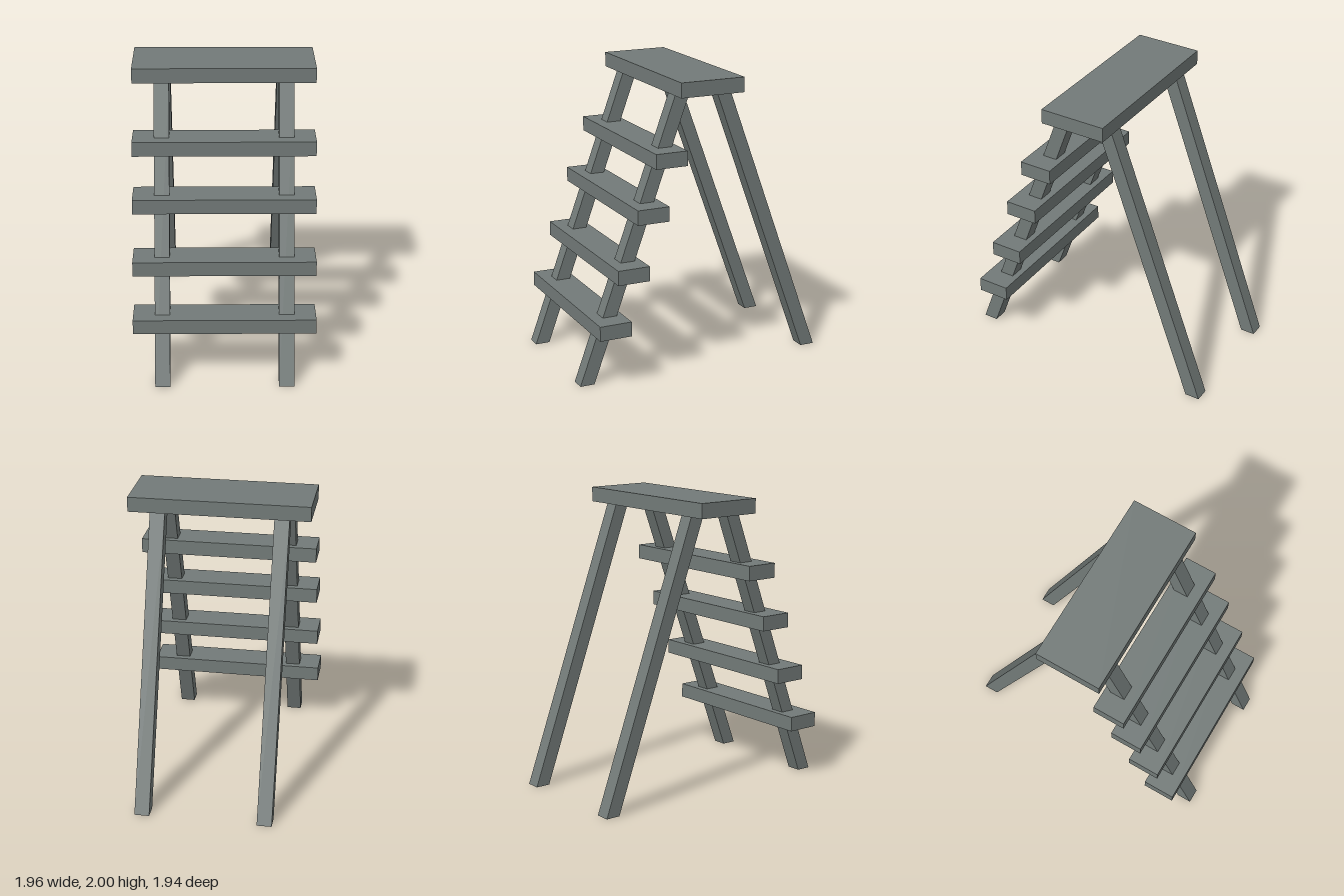
import * as THREE from 'three';

export function createModel() {
  const model = new THREE.Group();
  model.name = 'stepladder';
  const grey = new THREE.MeshStandardMaterial({ color: 0x727a78 });
  grey.name = 'grey';

  // Ladder in its own frame: rungs run along x, the climbing side faces +z
  const ladder = new THREE.Group();
  ladder.name = 'ladder';
  ladder.position.set(-0.02, 0, -0.025);
  ladder.rotation.y = 0.816;
  model.add(ladder);

  function board(name, width, depth, y, z) {
    const mesh = new THREE.Mesh(new THREE.BoxGeometry(width, 0.1, depth), grey);
    mesh.name = name;
    mesh.position.set(0, y, z);
    ladder.add(mesh);
  }

  // Sloping leg with level ends: a box sheared along z
  const legHeight = 1.9, topZ = 0.147, footZ = 0.84;
  function leg(name, x, side) {
    const geo = new THREE.BoxGeometry(0.1, legHeight, 0.1);
    geo.translate(0, legHeight / 2, 0);
    const pos = geo.attributes.position;
    for (let i = 0; i < pos.count; i++) {
      const t = pos.getY(i) / legHeight;
      pos.setZ(i, pos.getZ(i) + side * THREE.MathUtils.lerp(footZ, topZ, t));
    }
    geo.computeVertexNormals();
    const mesh = new THREE.Mesh(geo, grey);
    mesh.name = name;
    mesh.position.x = x;
    ladder.add(mesh);
  }

  // Top platform
  board('topBoard', 1.21, 0.453, 1.95, 0);

  // Treads, centred on the front legs
  [0.405, 0.765, 1.15, 1.505].forEach((y, i) =>
    board(`step${i + 1}`, 1.21, 0.223, y, THREE.MathUtils.lerp(footZ, topZ, y / legHeight)));

  // Two front and two back legs
  for (const s of [-1, 1]) {
    const label = s > 0 ? 'Left' : 'Right';
    leg('front' + label + 'Leg', s * 0.412, 1);
    leg('back' + label + 'Leg', s * 0.412, -1);
  }
  return model;
}
